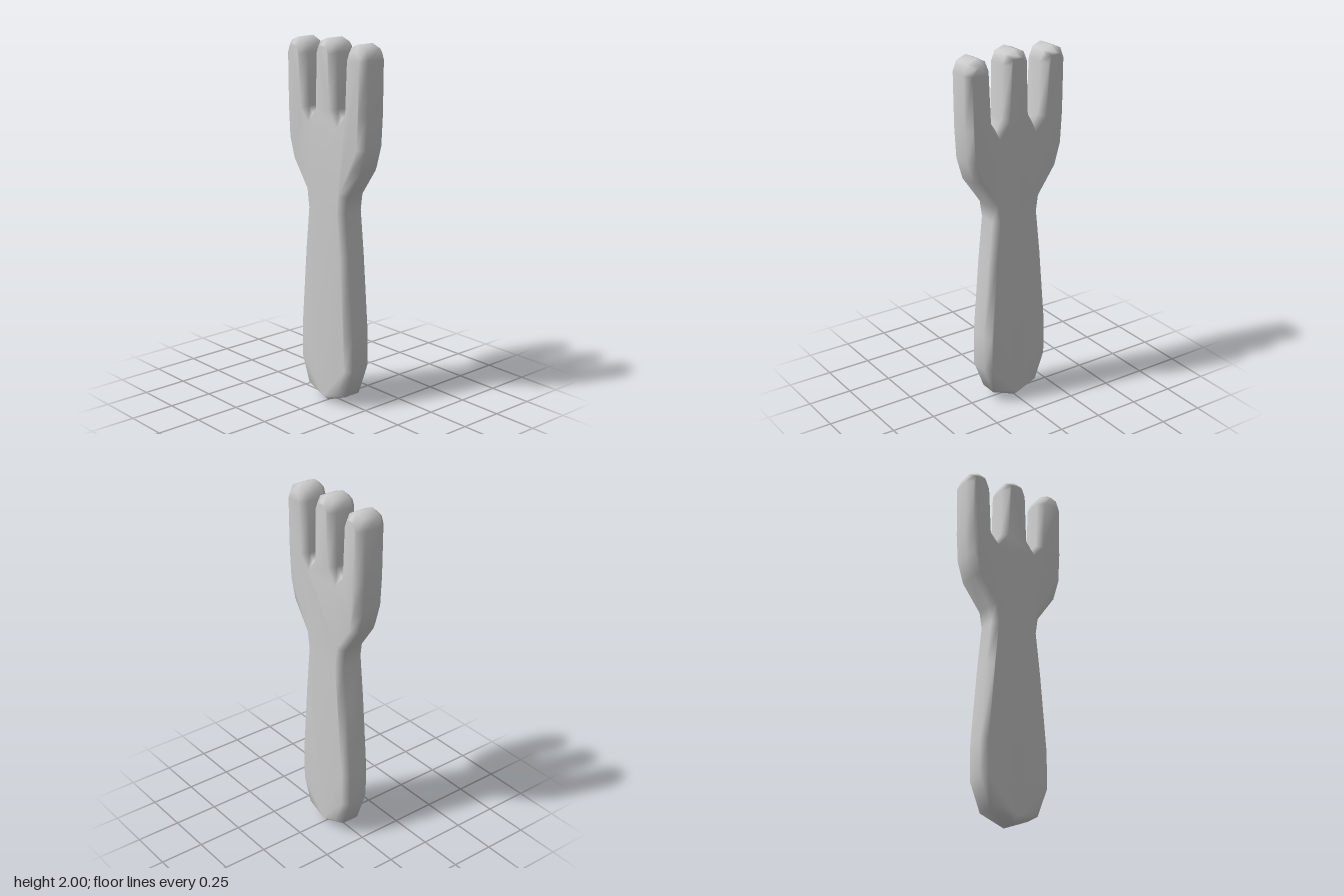
import * as THREE from 'three';
import { mergeVertices } from 'three/addons/utils/BufferGeometryUtils.js';

const BEVEL = 0.03, BEVEL_DEPTH = 0.036, THICKNESS = 0.172;

// Right half of the outline, from the butt of the handle up to the middle tine
const HALF = [
  [0.14, 0.06], [0.2, 0.22], [0.2, 0.42], [0.165, 0.85], [0.14, 1.09], [0.153, 1.18], // handle and neck
  [0.258, 1.33], [0.293, 1.45], [0.303, 1.62],                                      // shoulder
  [0.306, 1.91], [0.285, 1.965], [0.23, 1.987], [0.18, 1.965], [0.158, 1.91],       // outer tine
  [0.145, 1.63], [0.115, 1.59], [0.083, 1.64],                                      // gap
  [0.075, 1.93], [0.055, 1.98],                                                     // middle tine
];

export function createModel() {
  const right = HALF.map(([x, y]) => new THREE.Vector2(x, y));
  const left = HALF.map(([x, y]) => new THREE.Vector2(-x, y)).reverse();
  const outline = new THREE.Shape([
    new THREE.Vector2(0, 0.004), ...right, new THREE.Vector2(0, 2), ...left,
  ]);

  // One chamfered slab: handle, neck and three tines
  const slab = new THREE.ExtrudeGeometry(outline, {
    depth: THICKNESS - 2 * BEVEL_DEPTH,
    bevelEnabled: true,
    bevelSegments: 1,
    bevelSize: BEVEL,
    bevelOffset: -BEVEL,
    bevelThickness: BEVEL_DEPTH,
  });
  slab.translate(0, 0, BEVEL_DEPTH - THICKNESS / 2);

  // Weld the corners so that the chamfers shade softly
  slab.deleteAttribute('uv');
  slab.deleteAttribute('normal');
  const geometry = mergeVertices(slab, 1e-4);
  geometry.computeVertexNormals();

  const fork = new THREE.Mesh(geometry, new THREE.MeshStandardMaterial({ color: 0xcccccc }));
  fork.name = 'forkBody';

  const group = new THREE.Group();
  group.name = 'fork';
  group.add(fork);
  return group;
}
